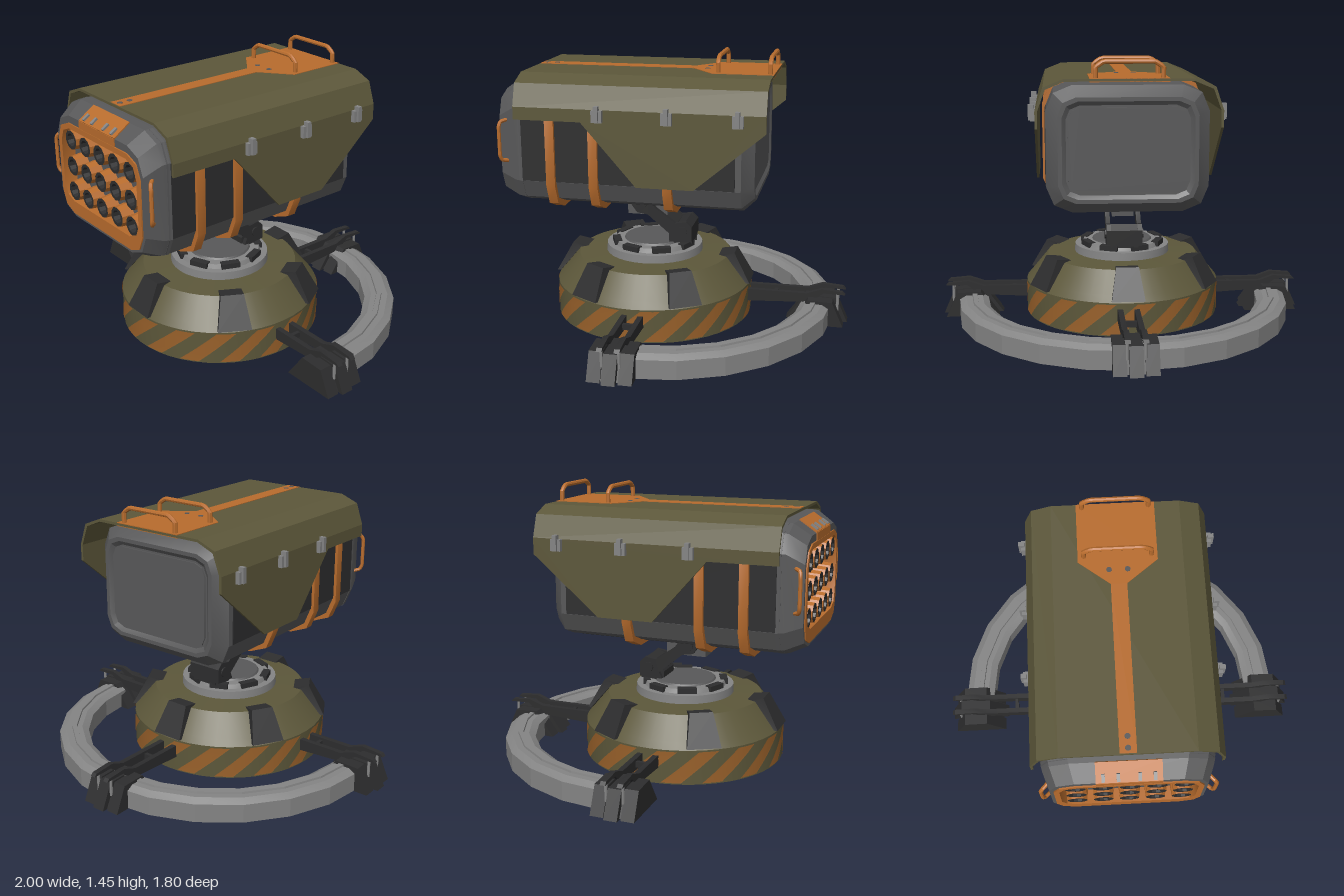
import * as THREE from 'three';
import { toCreasedNormals } from 'three/addons/utils/BufferGeometryUtils.js';

const paint = (name, color) => Object.assign(new THREE.MeshStandardMaterial({ color }), { name });

export function createModel() {
  const olive = paint('olive', 0x5c573a), orange = paint('orange', 0xb86c2d);
  const dark = paint('dark', 0x2d2d2e), grey = paint('mid grey', 0x585859);
  const light = paint('light grey', 0x848484), black = paint('black', 0x1d1d1d);
  const oliveSheet = paint('olive sheet', 0x5c573a), worn = paint('worn orange', 0x98602a);
  oliveSheet.side = worn.side = THREE.DoubleSide;

  const model = new THREE.Group();
  const group = (name, parent = model) => {
    const g = new THREE.Group();
    g.name = name;
    parent.add(g);
    return g;
  };
  const add = (parent, name, geo, mat, x = 0, y = 0, z = 0, crease = 0.5) => {
    const m = new THREE.Mesh(toCreasedNormals(geo, crease), mat);
    m.name = name;
    m.position.set(x, y, z);
    parent.add(m);
    return m;
  };
  const box = (w, h, d) => new THREE.BoxGeometry(w, h, d);
  const cyl = (rt, rb, h, n = 24, open = false) => new THREE.CylinderGeometry(rt, rb, h, n, 1, open);
  const shapeOf = (pts) => new THREE.Shape(pts.map(([x, y]) => new THREE.Vector2(x, y)));
  const extrude = (shape, depth) =>
    new THREE.ExtrudeGeometry(shape, { depth, bevelEnabled: false }).translate(0, 0, -depth / 2);
  // side profile given as [z, y], extruded across x
  const sideways = (pts, width) => extrude(shapeOf(pts), width).rotateY(-Math.PI / 2);
  const lathe = (pts, n, start, len) =>
    new THREE.LatheGeometry(pts.map(([x, y]) => new THREE.Vector2(x, y)), n, start, len);
  // counter-clockwise rectangle with bevelled corners
  const rounded = (hw, hh, r, cy = 0) => {
    const pts = [];
    for (let q = 0; q < 4; q++) for (let i = 0; i < 3; i++) {
      const a = (q + i / 2) * Math.PI / 2;
      const sx = q === 0 || q === 3 ? 1 : -1, sy = q < 2 ? 1 : -1;
      pts.push([sx * (hw - r) + r * Math.cos(a), cy + sy * (hh - r) + r * Math.sin(a)]);
    }
    return pts;
  };
  const frame = (outer, inner, depth) => {
    const s = shapeOf(outer);
    s.holes.push(shapeOf(inner));
    return extrude(s, depth);
  };
  // closed body through sections [z, halfWidth, halfHeight, radius, centreY], back to front
  const loft = (sections) => {
    const rings = sections.map(([z, hw, hh, r, cy]) => rounded(hw, hh, r, cy).map(([x, y]) => [x, y, z]));
    const pos = [], n = rings[0].length, last = rings.length - 1;
    const mid = (k) => [0, sections[k][4], sections[k][0]];
    for (let i = 0; i < n; i++) {
      const j = (i + 1) % n;
      for (let k = 0; k < last; k++) {
        const a = rings[k], b = rings[k + 1];
        pos.push(...a[i], ...a[j], ...b[j], ...a[i], ...b[j], ...b[i]);
      }
      pos.push(...mid(last), ...rings[last][i], ...rings[last][j]);
      pos.push(...mid(0), ...rings[0][j], ...rings[0][i]);
    }
    const g = new THREE.BufferGeometry();
    g.setAttribute('position', new THREE.Float32BufferAttribute(pos, 3));
    return g;
  };
  const handle = (pts, r) => {
    const path = new THREE.CurvePath(), v = pts.map((p) => new THREE.Vector3(...p));
    for (let i = 1; i < v.length; i++) path.add(new THREE.LineCurve3(v[i - 1], v[i]));
    return new THREE.TubeGeometry(path, 32, r, 8, false);
  };

  // Domed base, open underneath
  const base = group('base');
  base.position.z = 0.175;
  add(base, 'baseShell', lathe([[0.535, 0.01], [0.535, 0.19], [0.505, 0.225], [0.415, 0.335], [0.2, 0.345]], 48), oliveSheet);
  // Slanted stripes, showing on both faces of the skirt
  for (let i = 0; i < 16; i++) for (const r of [0.538, 0.531]) {
    const stripe = new THREE.PlaneGeometry(1, 1, 6, 4), p = stripe.attributes.position;
    for (let k = 0; k < p.count; k++) {
      const v = p.getY(k), a = i * Math.PI / 8 + p.getX(k) * 0.19 + v * 0.36;
      p.setXYZ(k, r * Math.sin(a), 0.1 + v * 0.165, r * Math.cos(a));
    }
    add(base, 'hazardStripe', stripe, worn);
  }
  for (let i = 0; i < 6; i++) {
    // Armour fin, narrowing toward the top
    const fin = sideways([[0.524, 0.2], [0.543, 0.2], [0.455, 0.36], [0.37, 0.345], [0.412, 0.335]], 0.175), p = fin.attributes.position;
    for (let k = 0; k < p.count; k++) if (p.getY(k) > 0.3) p.setX(k, p.getX(k) * 0.68);
    add(base, 'baseFin', fin, dark).rotation.y = i * Math.PI / 3;
  }
  add(base, 'innerColumn', cyl(0.21, 0.17, 0.25), light, 0, 0.215);
  add(base, 'columnFoot', cyl(0.155, 0.14, 0.04, 16), grey, 0, 0.08);
  add(base, 'columnHub', cyl(0.1, 0.1, 0.02, 8), black, 0, 0.055);

  // Turntable
  add(base, 'turntable', cyl(0.262, 0.265, 0.045, 32), light, 0, 0.362);
  add(base, 'turntableStep', cyl(0.215, 0.225, 0.025, 24), light, 0, 0.395);
  add(base, 'turntableTop', cyl(0.16, 0.17, 0.012, 24), grey, 0, 0.41);
  for (let i = 0; i < 8; i++)
    add(base, 'turntableClamp', box(0.1, 0.03, 0.04).translate(0, 0.398, 0.208), dark).rotation.y = (i + 0.5) * Math.PI / 4;

  // Lifting arm
  const arm = group('liftArm');
  add(arm, 'lowerBlock', sideways([[0.08, 0.405], [0.08, 0.45], [0.03, 0.515], [-0.015, 0.53], [-0.05, 0.5], [-0.05, 0.405]], 0.15), dark);
  add(arm, 'upperBlock', box(0.12, 0.13, 0.22), grey, 0, 0.615, 0.2);
  for (const s of [-1, 1]) {
    add(arm, 'armCheek', sideways([[0.08, 0.405], [-0.05, 0.42], [-0.05, 0.5], [-0.02, 0.53], [0.04, 0.52],
      [0.15, 0.6], [0.19, 0.655], [0.26, 0.655], [0.28, 0.61], [0.25, 0.57], [0.19, 0.56], [0.06, 0.45]], 0.025), dark, s * 0.085);
    for (const [y, z] of [[0.615, 0.225], [0.475, 0.0]])
      add(arm, 'armPivot', cyl(0.027, 0.027, 0.03, 12).rotateZ(Math.PI / 2), dark, s * 0.09, y, z);
  }

  // Half ring rail around the back
  add(model, 'supportRing', lathe([[0.91, 0.002], [0.91, 0.1], [0.875, 0.121], [0.842, 0.121], [0.84, 0.131], [0.815, 0.131],
    [0.813, 0.121], [0.785, 0.121], [0.75, 0.1], [0.75, 0.002], [0.91, 0.002]], 12, Math.PI / 2, Math.PI), light, 0, 0, 0.1, 0.2);

  // Three outrigger feet
  for (const [turn, z] of [[0, 0.17], [Math.PI, 0.17], [Math.PI / 2, 0.105]]) {
    const foot = group('outrigger');
    foot.position.z = z;
    foot.rotation.y = turn;
    for (const k of [-1, 0, 1]) {
      const inset = Math.abs(k) * 0.02;
      add(foot, 'footRib', extrude(shapeOf([[0.67 + inset, 0], [1 - inset, 0], [0.94 - inset, 0.135], [0.77 + inset, 0.14]]), 0.068), dark, 0, 0, k * 0.078);
    }
    add(foot, 'footCore', extrude(shapeOf([[0.7, 0.005], [0.97, 0.005], [0.91, 0.12], [0.79, 0.12]]), 0.2), dark);
    for (const s of [-1, 1]) {
      add(foot, 'armBar', extrude(shapeOf([[0.44, 0.09], [0.8, 0.11], [0.87, 0.165], [0.985, 0.163], [0.97, 0.178],
        [0.86, 0.187], [0.78, 0.158], [0.44, 0.158]]), 0.028), dark, 0, 0, s * 0.043);
      add(foot, 'footPin', cyl(0.008, 0.008, 0.1, 8), light, 0.945, 0.12, s * 0.043);
    }
    add(foot, 'armLink', box(0.02, 0.03, 0.07), dark, 0.61, 0.13, 0);
  }

  // Launcher housing with a recessed front
  const pod = group('launcher');
  pod.position.x = 0.005;
  const cy = 0.995;
  add(pod, 'housing', loft([[-0.405, 0.31, 0.225, 0.07, cy], [-0.42, 0.33, 0.245, 0.08, cy], [-0.42, 0.35, 0.265, 0.09, cy], [-0.36, 0.41, 0.32, 0.13, cy],
    [0.79, 0.41, 0.32, 0.13, cy]]), grey, 0, 0, 0, 0.3);
  add(pod, 'frontCap', loft([[0.77, 0.412, 0.322, 0.13, cy], [0.81, 0.405, 0.318, 0.13, cy], [0.895, 0.375, 0.27, 0.12, 0.985],
    [0.895, 0.35, 0.24, 0.1, 0.975], [0.83, 0.345, 0.235, 0.1, 0.975]]), grey, 0, 0, 0, 0.3);
  add(pod, 'rearPanel', extrude(shapeOf(rounded(0.3, 0.215, 0.06)), 0.008), grey, 0, cy, -0.408);
  for (const s of [-1, 1]) add(pod, 'sidePanel', box(0.008, 0.375, 1.1), dark, s * 0.41, cy, 0.22);
  for (const [z, d] of [[-0.17, 0.28], [0.2, 0.3], [0.5, 0.17]]) add(pod, 'bellyPanel', box(0.54, 0.009, d), black, 0, 0.675, z);
  for (const z of [0.615, 0.39, 0.01])
    add(pod, 'strap', frame(rounded(0.43, 0.345, 0.145, 0.99), rounded(0.4, 0.31, 0.125, cy), 0.047), orange, 0, 0, z);

  // Tube face
  add(pod, 'frontFrame', frame(rounded(0.357, 0.243, 0.1, 0.975), rounded(0.33, 0.195, 0.08, 0.996), 0.07), orange, 0, 0, 0.867);
  for (let c = -2; c <= 2; c++) for (const y of [0.855, 0.99, 1.128]) {
    const tube = group('launchTube', pod);
    tube.position.set(c * 0.129 + 0.005, y, 0);
    add(tube, 'collar', cyl(0.05, 0.056, 0.064, 10, true).rotateX(Math.PI / 2), orange, 0, 0, 0.862);
    add(tube, 'muzzle', lathe([[0.05, 0], [0.034, 0], [0.028, -0.045]], 10).rotateX(Math.PI / 2), dark, 0, 0, 0.894);
    add(tube, 'bore', new THREE.CircleGeometry(0.032, 10), grey, 0, 0, 0.85);
  }
  // Lock plate on the sloping front edge
  const lock = group('lockPlate', pod);
  lock.position.set(0, 1.286, 0.852);
  lock.rotation.x = 0.6;
  add(lock, 'lockPlateSheet', box(0.31, 0.009, 0.105), orange);
  for (const x of [-0.12, -0.05, 0.05, 0.12]) add(lock, 'lockPin', box(0.016, 0.016, 0.04), light, x, 0.006, 0.025);
  add(pod, 'lockPlateFront', box(0.31, 0.05, 0.008), orange, 0, 1.232, 0.896);

  // Folded weather shield
  const shield = group('shield', pod);
  const fold = [[0.32, 1.355], [0.42, 1.315], [0.46, 1.2], [0.447, 1.2], [0.408, 1.304], [0.317, 1.342]];
  const mirrored = fold.map(([x, y]) => [-x, y]);
  const outline = [...fold.slice(0, 3).reverse(), ...mirrored, ...fold.slice(3).reverse()];
  add(shield, 'shieldTop', extrude(shapeOf(outline), 1.275), olive, 0, 0, 0.1525, 0.1);
  for (const s of [-1, 1]) {
    add(shield, 'shieldSide', sideways([[0.79, 1.2], [0.79, 1.135], [0.44, 1.135], [0.16, 0.815], [-0.13, 0.815], [-0.485, 1.115], [-0.485, 1.2]], 0.013), olive, s * 0.4535);
    for (const z of [0.35, 0, -0.35]) {
      const clip = group('shieldClip', shield);
      clip.position.set(s * 0.468, 1.17, z);
      add(clip, 'clipBody', box(0.03, 0.06, 0.055), light);
      add(clip, 'clipLatch', box(0.03, 0.08, 0.022), light, s * 0.012, 0.012, 0);
    }
  }
  // Painted top marking, also on the underside of the rear overhang
  const marking = shapeOf([[-0.195, 0.485], [-0.195, 0.17], [-0.04, 0.05], [-0.04, -0.785], [0.04, -0.785], [0.04, 0.05], [0.195, 0.17], [0.195, 0.485]]);
  add(shield, 'topMarking', extrude(marking, 0.004).rotateX(-Math.PI / 2), orange, 0, 1.356, 0);
  add(shield, 'undersideMarking', box(0.39, 0.004, 0.3), orange, 0, 1.341, -0.335);
  for (const [x, z] of [[-0.045, -0.125], [0.045, -0.125], [0, 0.705], [0, 0.76]])
    add(shield, 'bolt', cyl(0.014, 0.014, 0.003, 10), grey, x, 1.358, z);
  for (const z of [-0.2, -0.465])
    add(shield, 'topHandle', handle([[-0.165, 1.35, z], [-0.165, 1.41, z], [-0.125, 1.437, z], [0.125, 1.437, z],
      [0.165, 1.41, z], [0.165, 1.35, z]], 0.012), orange);
  for (const s of [-1, 1])
    add(pod, 'frontHandle', handle([[s * 0.375, 0.9, 0.845], [s * 0.41, 0.91, 0.88], [s * 0.42, 0.935, 0.885],
      [s * 0.42, 1.085, 0.885], [s * 0.41, 1.11, 0.88], [s * 0.375, 1.12, 0.845]], 0.01), orange);

  return model;
}
